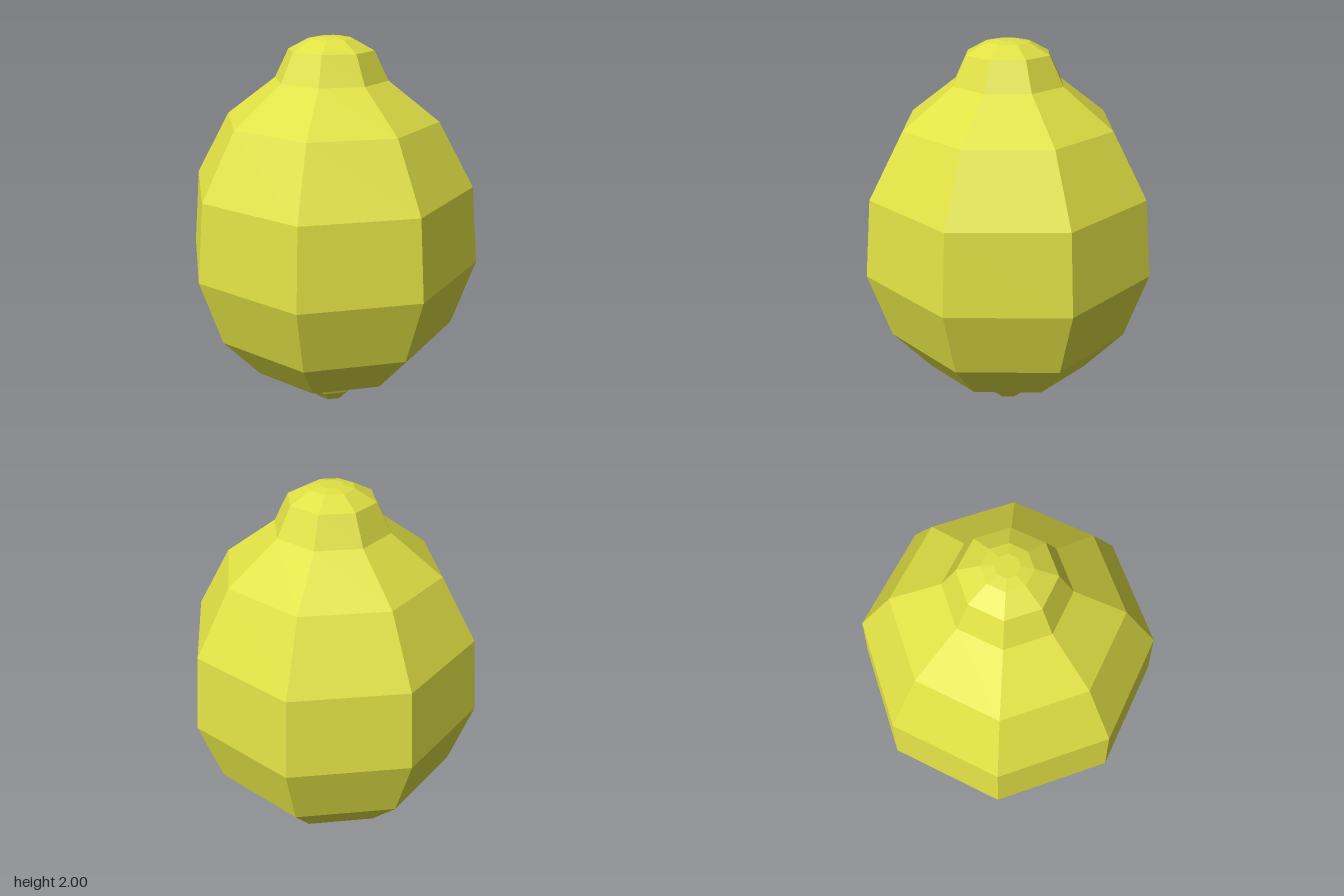
import * as THREE from 'three';

const SIDES = 8;

export function createModel() {
  const group = new THREE.Group();
  group.name = 'lemon';
  const skin = new THREE.MeshStandardMaterial({ color: 0xe0e044, flatShading: true });

  // Revolves a [radius, height] profile, listed from bottom to top
  const addPart = (name, profile) => {
    const points = profile.map(([r, y]) => new THREE.Vector2(r, y));
    const mesh = new THREE.Mesh(new THREE.LatheGeometry(points, SIDES), skin);
    mesh.name = name;
    group.add(mesh);
  };

  // Small knob at the bottom
  addPart('stemKnob', [[0, 0.005], [0.085, 0.015], [0.147, 0.088], [0.173, 0.147]]);

  // Fruit, widest just below the middle
  addPart('fruitBody', [
    [0.173, 0.147], [0.45, 0.287], [0.65, 0.532], [0.76, 0.89],
    [0.717, 1.287], [0.536, 1.607], [0.283, 1.797],
  ]);

  // Blunt tip at the top
  addPart('fruitTip', [[0.283, 1.797], [0.212, 1.937], [0.11, 1.99], [0.055, 2], [0, 2]]);

  return group;
}
